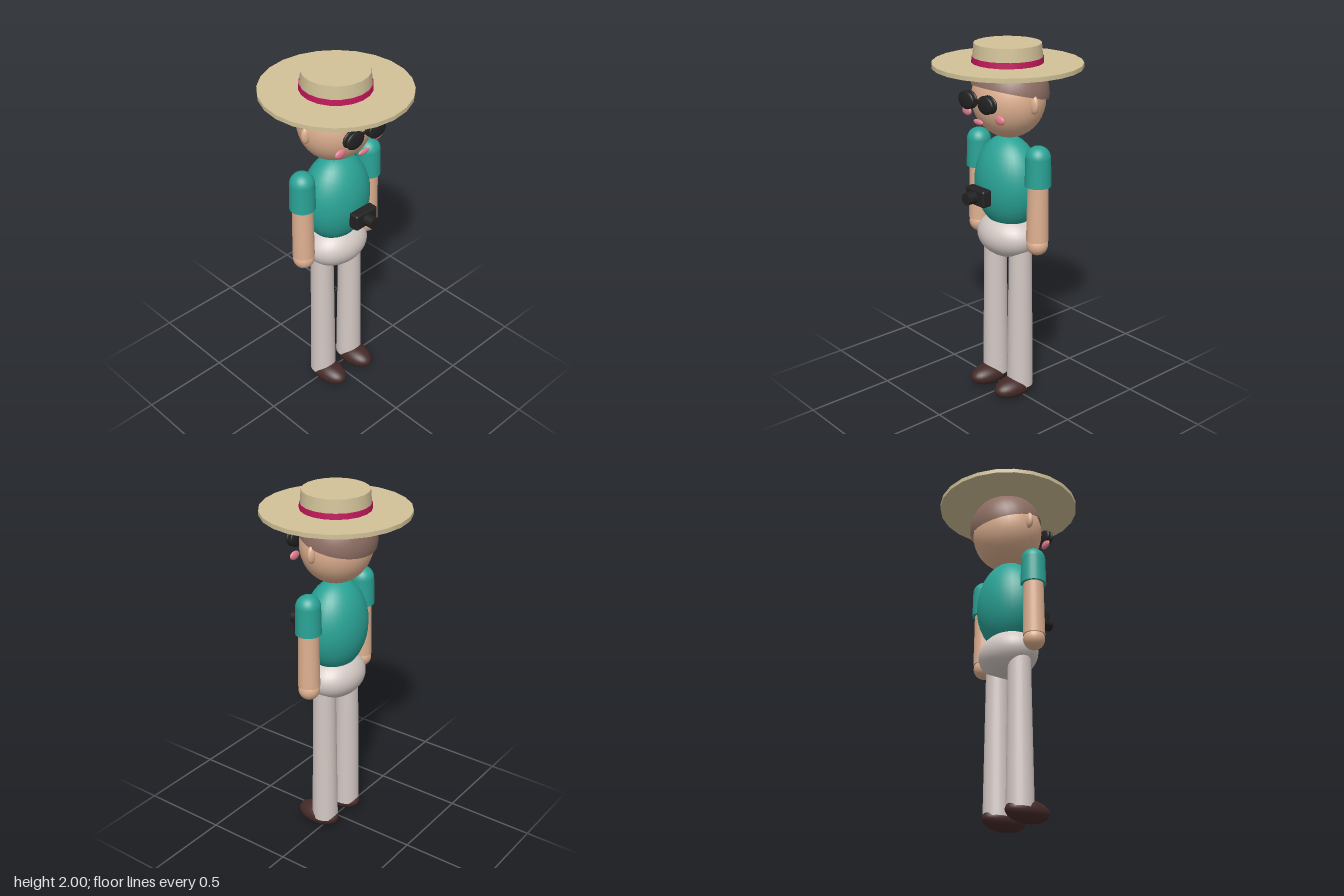
import * as THREE from 'three';
import { RoundedBoxGeometry } from 'three/addons/geometries/RoundedBoxGeometry.js';

const mat = (name, color, extra = {}) => {
  const m = new THREE.MeshStandardMaterial({ color, ...extra });
  m.name = name;
  return m;
};

export function createModel() {
  const root = new THREE.Group();
  root.name = 'tourist';

  const skin = mat('skin', 0xdeb090);
  const hairBrown = mat('hair brown', 0x8d6e63, { side: THREE.DoubleSide });
  const teal = mat('shirt teal', 0x2aa396);
  const trousers = mat('trouser grey', 0xd3c8c4);
  const shoeBrown = mat('shoe brown', 0x442a28);
  const straw = mat('straw', 0xd2c298);
  const ribbon = mat('ribbon red', 0xc2185b);
  const black = mat('black', 0x222222);
  const pink = mat('pink', 0xe57f90);

  const add = (name, geo, material, x = 0, y = 0, z = 0) => {
    const m = new THREE.Mesh(geo, material);
    m.name = name;
    m.position.set(x, y, z);
    root.add(m);
    return m;
  };
  // Ellipsoid from its three radii
  const ball = (name, material, r, p) =>
    add(name, new THREE.SphereGeometry(1, 32, 20).scale(...r), material, ...p);
  // Upright tapered cylinder between two heights
  const post = (name, material, rTop, rBottom, y0, y1, x = 0, sides = 24) =>
    add(name, new THREE.CylinderGeometry(rTop, rBottom, y1 - y0, sides), material, x, (y0 + y1) / 2, 0);

  // Body
  ball('torso', teal, [0.203, 0.26, 0.161], [0, 1.25, 0]);
  ball('hips', trousers, [0.19, 0.125, 0.15], [0, 0.95, 0]);

  // Head and hair
  ball('head', skin, [0.206, 0.21, 0.19], [0, 1.71, -0.006]);
  const hair = add('hair',
    new THREE.SphereGeometry(1, 32, 12, 0, Math.PI * 2, 0, Math.PI / 2).scale(0.215, 0.2, 0.203),
    hairBrown, 0, 1.74, -0.015);
  hair.rotation.x = -0.25;
  ball('mouth', pink, [0.037, 0.015, 0.01], [0, 1.613, 0.2]);

  // Limbs, face pairs and glasses, mirrored
  for (const [side, s] of [['left', 1], ['right', -1]]) {
    ball(side + 'Ear', skin, [0.03, 0.048, 0.02], [s * 0.205, 1.708, 0]);
    ball(side + 'Cheek', pink, [0.036, 0.024, 0.013], [s * 0.132, 1.642, 0.168]);
    ball(side + 'GlassesFrame', black, [0.06, 0.048, 0.015], [s * 0.077, 1.718, 0.191]);
    ball(side + 'GlassesLens', black, [0.06, 0.048, 0.015], [s * 0.077, 1.718, 0.217]);

    // Sleeve with a domed shoulder, forearm and hand
    ball(side + 'Shoulder', teal, [0.067, 0.067, 0.067], [s * 0.24, 1.434, 0]);
    post(side + 'Sleeve', teal, 0.067, 0.07, 1.285, 1.434, s * 0.24);
    post(side + 'Forearm', skin, 0.055, 0.06, 0.98, 1.32, s * 0.24);
    ball(side + 'Hand', skin, [0.058, 0.058, 0.058], [s * 0.24, 0.955, 0]);

    post(side + 'Leg', trousers, 0.062, 0.074, 0.065, 0.93, s * 0.105);
    ball(side + 'Shoe', shoeBrown, [0.075, 0.06, 0.13], [s * 0.105, 0.06, 0.045]);
  }
  add('glassesBridge', new THREE.BoxGeometry(0.05, 0.012, 0.012), black, 0, 1.725, 0.205);

  // Straw hat
  post('hatBrim', straw, 0.395, 0.395, 1.877, 1.9, 0, 24);
  post('hatCrown', straw, 0.177, 0.186, 1.9, 2, 0, 20);
  post('hatBand', ribbon, 0.187, 0.189, 1.9, 1.93, 0, 20);

  // Camera on the chest
  add('cameraBody', new RoundedBoxGeometry(0.152, 0.092, 0.06, 3, 0.012), black, 0, 1.212, 0.205);
  const lens = add('cameraLens', new THREE.CylinderGeometry(0.033, 0.033, 0.06, 24), black, 0, 1.212, 0.26);
  lens.rotation.x = Math.PI / 2;

  return root;
}
